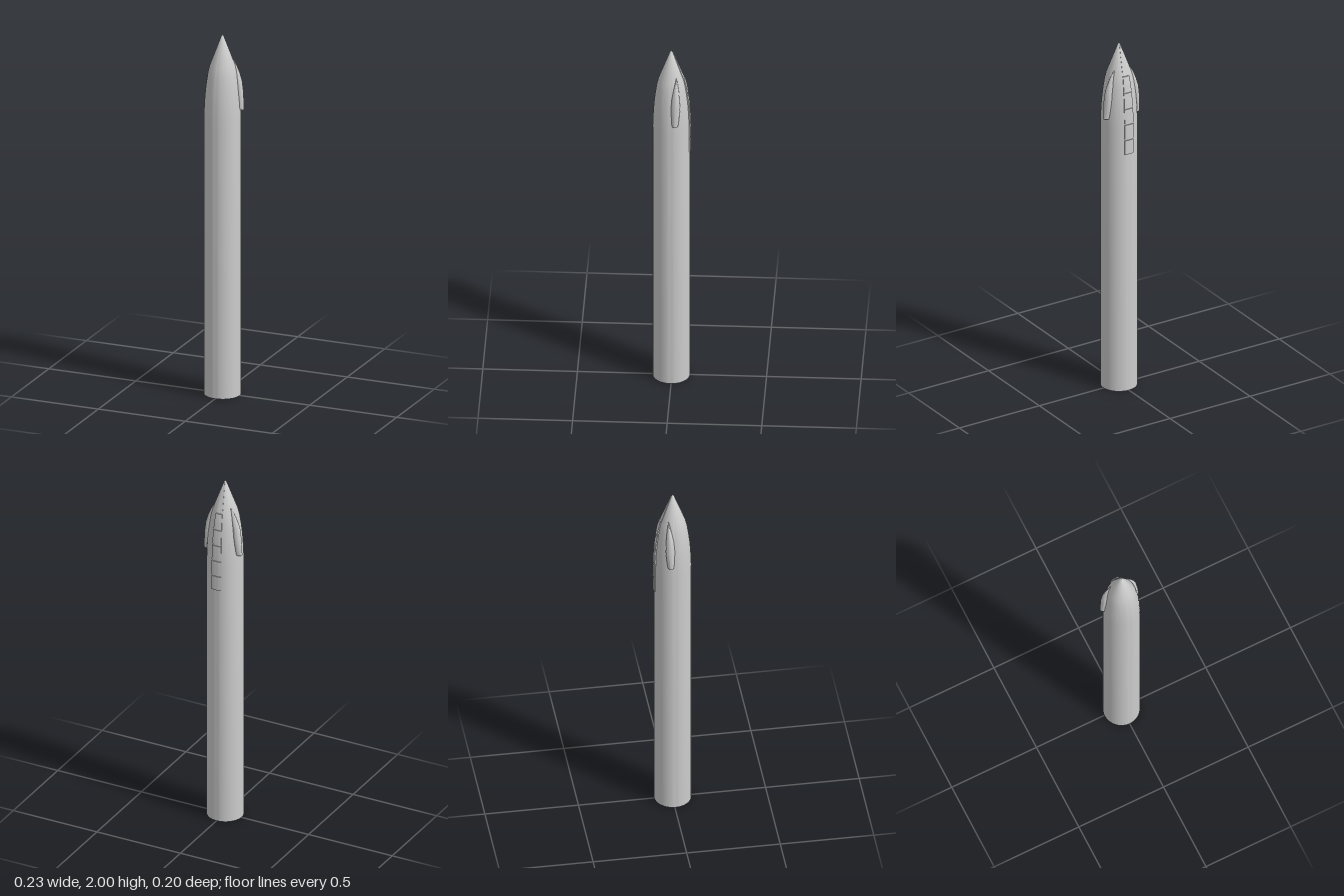
import * as THREE from 'three';
import { toCreasedNormals } from 'three/addons/utils/BufferGeometryUtils.js';

const BODY_Z = 0.0035;
// Hull radius and height, from base to tip
const HULL = [
  [0.0985, 0], [0.0985, 1.54], [0.097, 1.59], [0.0945, 1.64], [0.0905, 1.69],
  [0.0845, 1.74], [0.077, 1.79], [0.0675, 1.83], [0.006, 1.996],
];

function hullRadius(y) {
  for (let i = 1; i < HULL.length; i++) {
    const [r0, y0] = HULL[i - 1], [r1, y1] = HULL[i];
    if (y <= y1) return r0 + (r1 - r0) * (y - y0) / (y1 - y0);
  }
  return 0.006;
}

// Curved plate that follows the hull over a wedge of angle at the back
function plate(name, y0, y1, raise, halfAngle, material) {
  const outer = [], inner = [], steps = 6;
  for (let i = 0; i <= steps; i++) {
    const y = y0 + (y1 - y0) * i / steps, r = hullRadius(y);
    outer.push(new THREE.Vector2(r + raise, y));
    inner.unshift(new THREE.Vector2(Math.max(r - 0.004, 0.001), y));
  }
  const profile = [...outer, ...inner];
  const group = new THREE.Group();
  group.name = name;
  const skin = new THREE.LatheGeometry([...profile, profile[0]], 8, Math.PI - halfAngle, halfAngle * 2);
  group.add(new THREE.Mesh(toCreasedNormals(skin, 0.5), material));
  for (const s of [-1, 1]) {
    const side = new THREE.Mesh(new THREE.ShapeGeometry(new THREE.Shape(profile)), material);
    side.rotation.y = Math.PI / 2 + s * halfAngle;
    group.add(side);
  }
  group.children.forEach((m) => { m.name = name; });
  return group;
}

// Side pod lofted through elliptical sections: y, centre x, outer x, centre z, half width
function podGeometry(side) {
  const sections = [
    [1.59, 0.088, 0.113, -0.02, 0.017], [1.63, 0.087, 0.111, -0.021, 0.021],
    [1.69, 0.085, 0.1065, -0.0225, 0.0245], [1.745, 0.079, 0.1, -0.023, 0.021],
    [1.785, 0.069, 0.088, -0.024, 0.016], [1.825, 0.058, 0.072, -0.025, 0.009],
    [1.858, 0.048, 0.052, -0.026, 0.002],
  ];
  const n = 24, pos = [], index = [];
  for (const [y, cx, ox, cz, w] of sections) {
    for (let j = 0; j < n; j++) {
      const a = j / n * Math.PI * 2;
      pos.push(side * (cx + (ox - cx) * Math.cos(a)), y, cz + w * Math.sin(a));
    }
  }
  const tri = (a, b, c) => (side > 0 ? index.push(a, b, c) : index.push(a, c, b));
  const last = (sections.length - 1) * n;
  for (let j = 0; j < n; j++) {
    const k = (j + 1) % n;
    for (let i = 0; i < last; i += n) {
      tri(i + j, i + n + j, i + k);
      tri(i + k, i + n + j, i + n + k);
    }
  }
  // End caps
  for (let j = 1; j < n - 1; j++) {
    tri(0, j, j + 1);
    tri(last, last + j + 1, last + j);
  }
  const g = new THREE.BufferGeometry();
  g.setAttribute('position', new THREE.Float32BufferAttribute(pos, 3));
  g.setIndex(index);
  return toCreasedNormals(g, 0.6);
}

export function createModel() {
  const model = new THREE.Group();
  model.name = 'rocketStage';
  const grey = new THREE.MeshStandardMaterial({ color: 0xcccccc });
  const greyDouble = new THREE.MeshStandardMaterial({ color: 0xcccccc, side: THREE.DoubleSide });

  // Cylindrical hull with pointed nose and closed base
  const points = [[0, 0], ...HULL, [0.003, 1.9995], [0, 2]].map(([r, y]) => new THREE.Vector2(r, y));
  const hull = new THREE.Mesh(toCreasedNormals(new THREE.LatheGeometry(points, 64), 0.5), grey);
  hull.name = 'hull';
  hull.position.z = BODY_Z;
  model.add(hull);

  // Back strip: a row of raised tiles, then a slim wedge up to the tip
  const strip = new THREE.Group();
  strip.name = 'backStrip';
  strip.position.z = BODY_Z;
  const bottom = 1.39, pitch = 0.09;
  for (let i = 0; i < 5; i++) {
    const y = bottom + i * pitch;
    strip.add(plate('stripTile', y, y + pitch - 0.008, 0.007, 0.265, greyDouble));
  }
  strip.add(plate('stripBed', bottom, 1.84, 0.003, 0.265, greyDouble));
  strip.add(plate('noseWedge', 1.84, 1.99, 0.003, 0.265, greyDouble));
  model.add(strip);

  // Mirrored side pods
  for (const side of [1, -1]) {
    const pod = new THREE.Mesh(podGeometry(side), grey);
    pod.name = side > 0 ? 'leftPod' : 'rightPod';
    model.add(pod);
  }
  return model;
}
